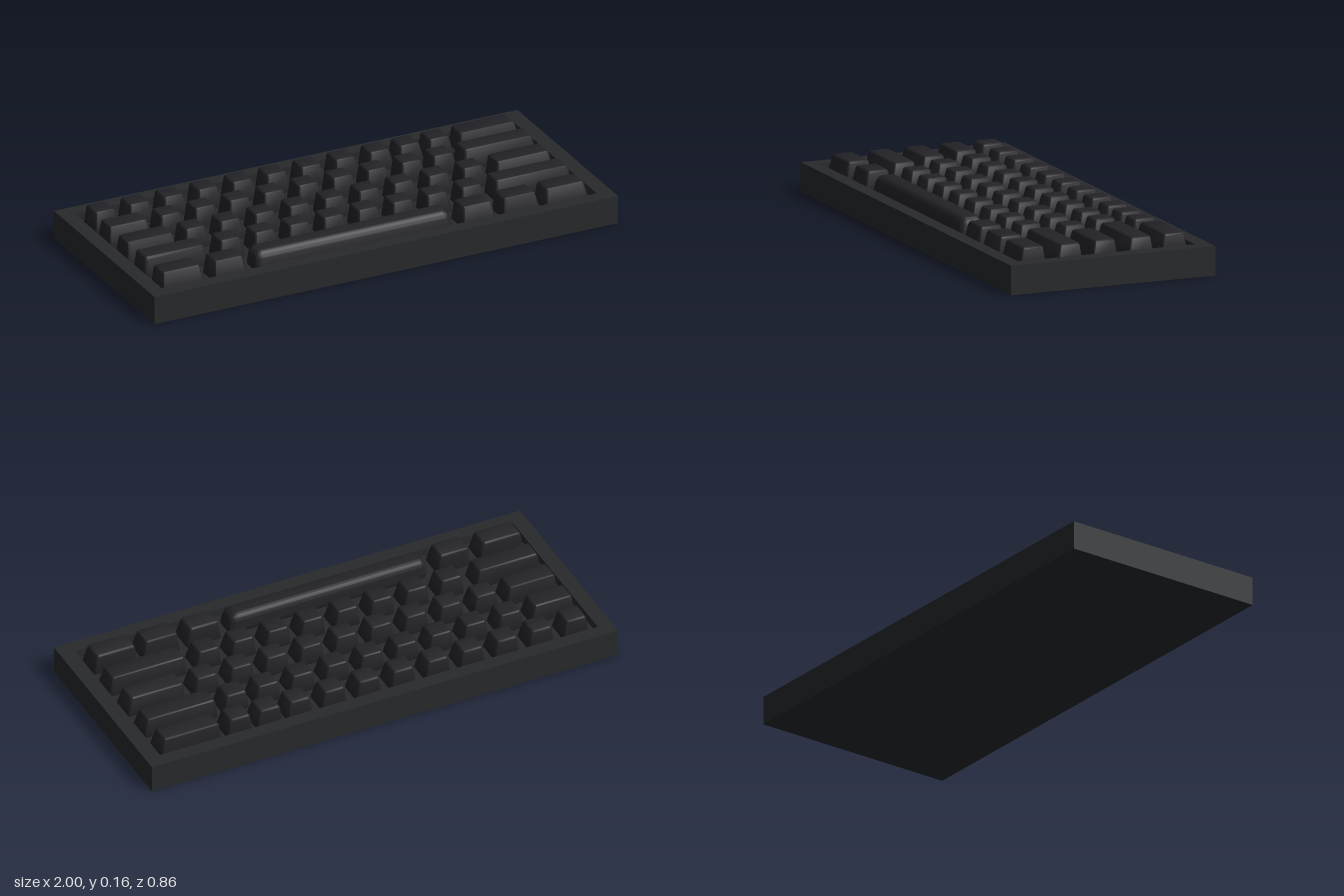
import * as THREE from 'three';
import { RoundedBoxGeometry } from 'three/addons/geometries/RoundedBoxGeometry.js';
import { toCreasedNormals } from 'three/addons/utils/BufferGeometryUtils.js';

const caseMat = new THREE.MeshStandardMaterial({ color: 0x27292b });
const keyMat = new THREE.MeshStandardMaterial({ color: 0x232328 });

const CASE_H = 0.116, FLOOR = 0.08, KEY_BASE = 0.068, KEY_TOP = 0.16;

// A keycap: rounded box whose sides lean in towards the top, most at the front and right
function keycap(x0, x1, z0, z1, radius, segments) {
  const w = x1 - x0, d = z1 - z0, h = KEY_TOP - KEY_BASE;
  const geo = new RoundedBoxGeometry(w, h, d, segments, radius);
  const p = geo.attributes.position;
  for (let i = 0; i < p.count; i++) {
    const t = p.getY(i) / h + 0.5;
    const u = p.getX(i) / w + 0.5, v = p.getZ(i) / d + 0.5;
    p.setX(i, p.getX(i) + t * (0.012 * (1 - u) - 0.02 * u));
    p.setZ(i, p.getZ(i) + t * (0.009 * (1 - v) - 0.022 * v));
  }
  geo.computeVertexNormals();
  const mesh = new THREE.Mesh(toCreasedNormals(geo, 0.7), keyMat);
  mesh.position.set((x0 + x1) / 2, (KEY_BASE + KEY_TOP) / 2, (z0 + z1) / 2);
  return mesh;
}

// n equal keys starting at x, with a fixed pitch
const run = (x, n, pitch = 0.1487, w = 0.115) =>
  Array.from({ length: n }, (_, i) => [x + i * pitch, x + i * pitch + w]);

export function createModel() {
  const model = new THREE.Group();

  // Case rim with a rectangular well
  const outline = new THREE.Shape([[-1, -0.43], [1, -0.43], [1, 0.43], [-1, 0.43]]
    .map(([x, y]) => new THREE.Vector2(x, y)));
  outline.holes.push(new THREE.Path([[-0.94, -0.372], [-0.94, 0.372], [0.937, 0.372], [0.937, -0.372]]
    .map(([x, y]) => new THREE.Vector2(x, y))));
  const rim = new THREE.Mesh(
    new THREE.ExtrudeGeometry(outline, { depth: CASE_H, bevelEnabled: false }).rotateX(-Math.PI / 2), caseMat);
  rim.name = 'caseRim';
  model.add(rim);

  // Plate closing the well, flush with the underside
  const plate = new THREE.Mesh(new THREE.BoxGeometry(1.877, FLOOR, 0.744), caseMat);
  plate.position.set(-0.0015, FLOOR / 2, 0);
  plate.name = 'keyPlate';
  model.add(plate);

  // Rows from back to front: depth range and key spans in x
  const rows = [
    { name: 'numberRow', z: [-0.353, -0.237],
      keys: [...run(-0.917, 9, 0.148), ...run(0.396, 2, 0.128), [0.657, 0.922]] },
    { name: 'upperRow', z: [-0.21, -0.096],
      keys: [[-0.926, -0.735], ...run(-0.706, 8, 0.1485), [0.47, 0.585], [0.604, 0.925]] },
    { name: 'homeRow', z: [-0.06, 0.055],
      keys: [[-0.926, -0.702], ...run(-0.675, 9, 0.1497), [0.668, 0.922]] },
    { name: 'lowerRow', z: [0.09, 0.204],
      keys: [[-0.926, -0.645], ...run(-0.6, 8), [0.588, 0.928]] },
    { name: 'bottomRow', z: [0.241, 0.358],
      keys: [[-0.926, -0.735], [-0.702, -0.552], [0.369, 0.522], [0.545, 0.71], [0.727, 0.921]] },
  ];
  for (const { name, z, keys } of rows) {
    const row = new THREE.Group();
    row.name = name;
    keys.forEach(([a, b], i) => {
      const key = keycap(a, b, z[0], z[1], 0.011, 2);
      key.name = `key${i + 1}`;
      row.add(key);
    });
    model.add(row);
  }

  // Space bar with a softer, rounder top
  const space = keycap(-0.522, 0.342, 0.241, 0.355, 0.03, 4);
  space.name = 'spaceBar';
  model.add(space);

  return model;
}
